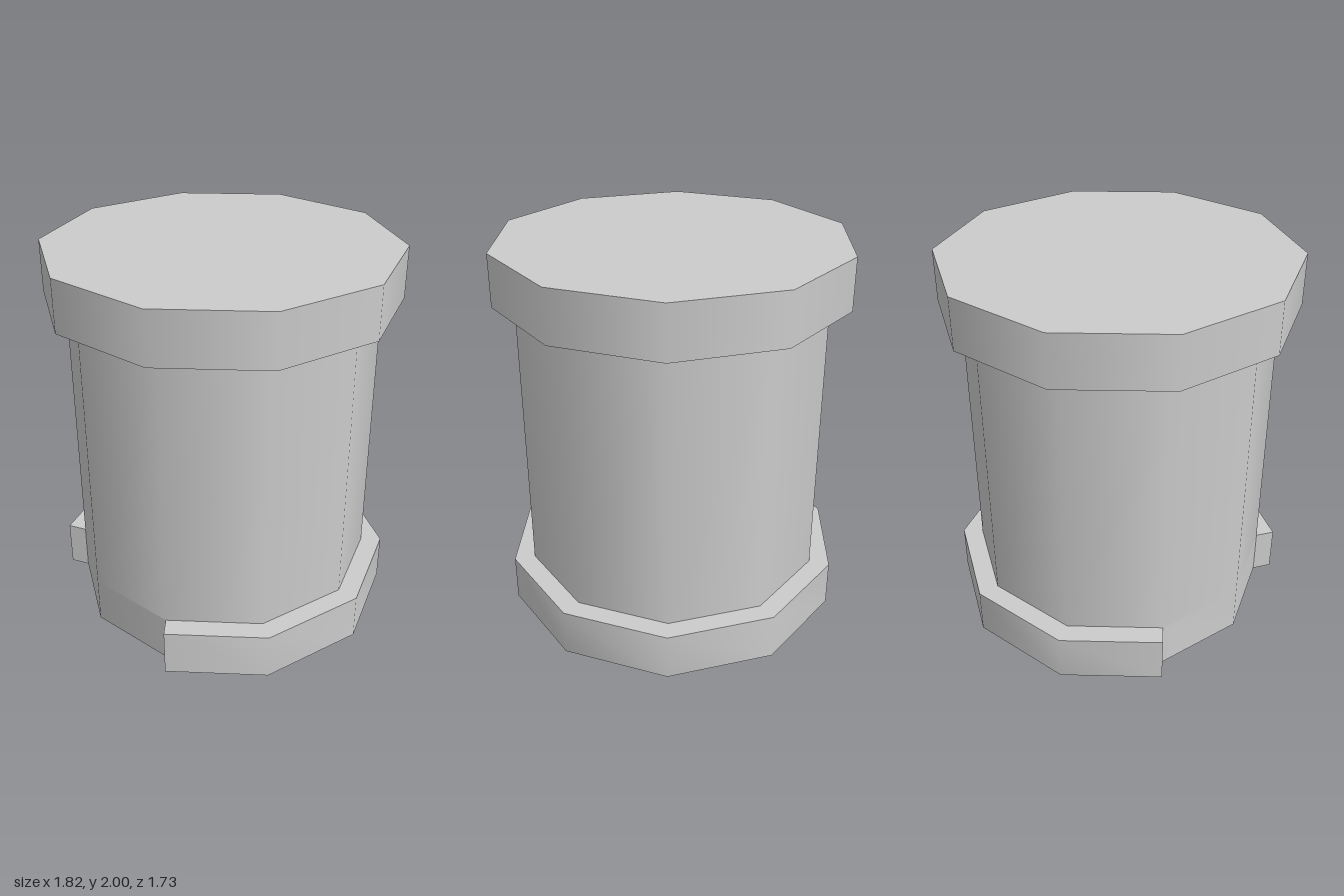
import * as THREE from 'three';
import { toCreasedNormals } from 'three/addons/utils/BufferGeometryUtils.js';

const SIDES = 10, STEP = (Math.PI * 2) / SIDES;
const RIM = 0.91, BODY = 0.8;
const BASE_TOP = 0.25, CAP_BOTTOM = 1.73, HEIGHT = 2;

const material = new THREE.MeshStandardMaterial({ color: 0xcccccc });

function corner(radius, i) {
  return new THREE.Vector2(radius * Math.cos(i * STEP), radius * Math.sin(i * STEP));
}

// Ten-sided prism, smooth around its sides, with a corner on the x axis
function prism(name, radius, bottom, top, open) {
  const geometry = new THREE.CylinderGeometry(radius, radius, top - bottom, SIDES, 1, open, STEP / 2);
  const mesh = new THREE.Mesh(geometry, material);
  mesh.name = name;
  mesh.position.y = (bottom + top) / 2;
  return mesh;
}

// Base rim: follows the outer decagon, but drops back to the body over two sides at -x
function baseOutline() {
  const thickness = (RIM - BODY) * Math.cos(STEP / 2);
  // Square end of the rim: the body corner pushed out along its side's normal
  const end = (i, side) => corner(BODY, i).add(corner(thickness, side));
  const points = [];
  for (let i = -3; i <= 3; i++) points.push(corner(RIM, i));
  points.push(end(4, 3.5));
  for (let i = 4; i <= 6; i++) points.push(corner(BODY, i));
  points.push(end(6, 6.5));
  return new THREE.Shape(points);
}

export function createModel() {
  const model = new THREE.Group();
  model.name = 'drum';

  model.add(prism('body', BODY, BASE_TOP, CAP_BOTTOM, true));
  model.add(prism('topCap', RIM, CAP_BOTTOM, HEIGHT, false));

  const extruded = new THREE.ExtrudeGeometry(baseOutline(), { depth: BASE_TOP, bevelEnabled: false });
  extruded.rotateX(-Math.PI / 2);
  const base = new THREE.Mesh(toCreasedNormals(extruded, STEP * 1.2), material);
  base.name = 'notchedBase';
  model.add(base);

  return model;
}
